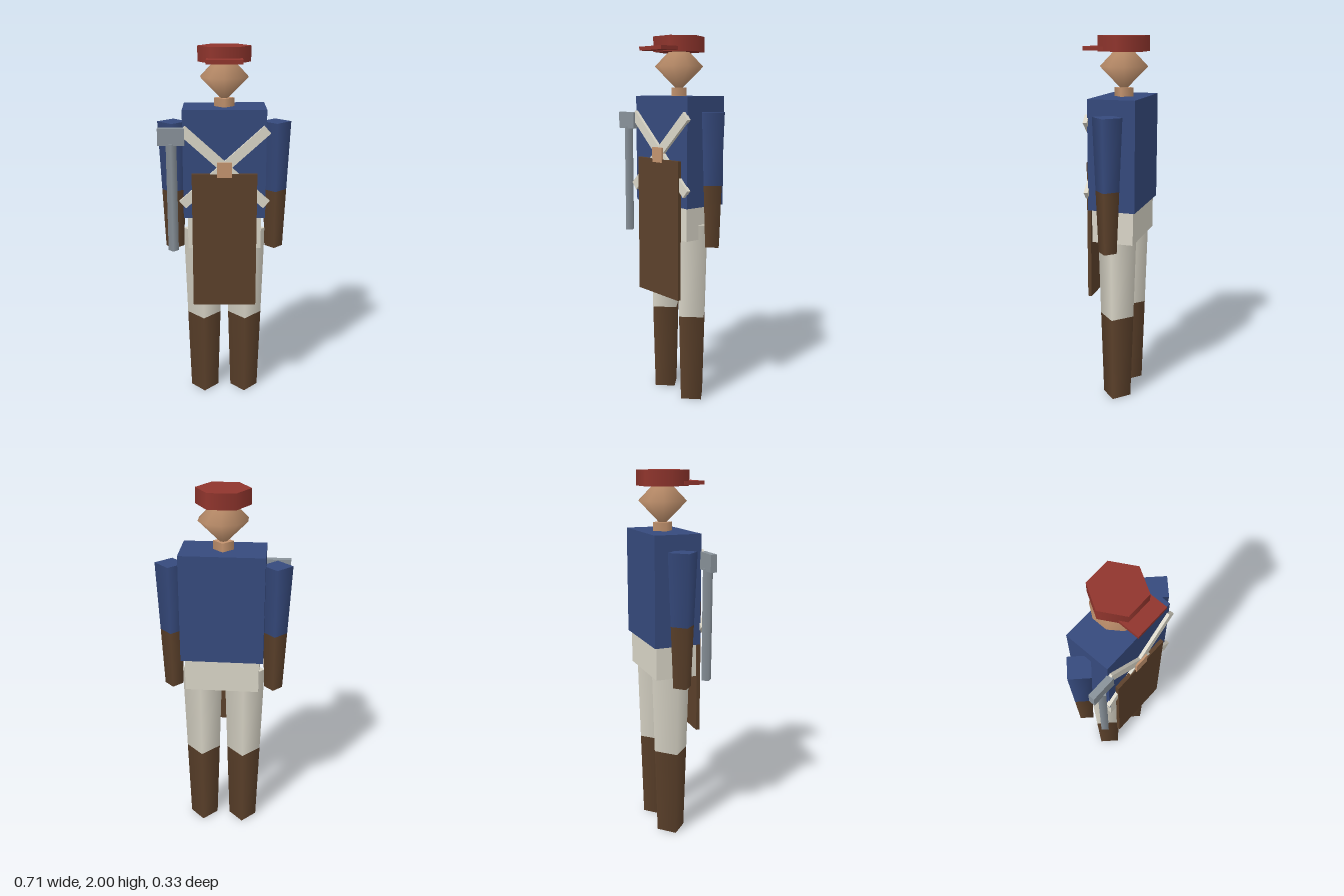
import * as THREE from 'three';

const mat = (name, color) => {
  const m = new THREE.MeshStandardMaterial({ color });
  m.name = name;
  return m;
};

export function createModel() {
  const group = new THREE.Group();
  group.name = 'soldier';

  const blue = mat('blue coat', 0x364a7d);
  const brown = mat('brown leather', 0x5c412b);
  const cream = mat('cream cloth', 0xdad6c8);
  const red = mat('red cap', 0x90352d);
  const grey = mat('grey metal', 0x89929a);
  const skin = mat('skin', 0xc4946f);

  const bodyZ = -0.033;

  const add = (name, geometry, material, x, y, z) => {
    const mesh = new THREE.Mesh(geometry, material);
    mesh.name = name;
    mesh.position.set(x, y, z);
    group.add(mesh);
    return mesh;
  };
  const box = (name, material, w, h, d, x, y, z) =>
    add(name, new THREE.BoxGeometry(w, h, d), material, x, y, z);
  // Upright tapered prism between two heights
  const prism = (name, material, rTop, rBottom, y0, y1, x, z, sides = 4) =>
    add(name, new THREE.CylinderGeometry(rTop, rBottom, y1 - y0, sides), material, x, (y0 + y1) / 2, z);

  // Body
  box('torso', blue, 0.438, 0.58, 0.254, 0, 1.4, bodyZ);
  box('hips', cream, 0.396, 0.18, 0.226, 0, 1.02, bodyZ);

  // Limbs, mirrored
  for (const [side, s] of [['left', 1], ['right', -1]]) {
    prism(side + 'Sleeve', blue, 0.08, 0.064, 1.235, 1.61, s * 0.277, bodyZ);
    prism(side + 'Forearm', brown, 0.064, 0.05, 0.905, 1.235, s * 0.277, bodyZ);
    prism(side + 'Thigh', cream, 0.11, 0.095, 0.49, 1.01, s * 0.117, bodyZ);
    prism(side + 'Boot', brown, 0.095, 0.08, 0, 0.49, s * 0.117, bodyZ);
  }

  // Neck and double-cone head
  prism('neck', skin, 0.053, 0.053, 1.68, 1.735, 0, bodyZ);
  const head = add('head', new THREE.SphereGeometry(0.131, 10, 2), skin, 0, 1.845, bodyZ);
  head.rotation.y = Math.PI / 2;

  // Cap with peak
  prism('cap', red, 0.139, 0.139, 1.92, 2, 0, bodyZ, 6).rotation.y = Math.PI / 6;
  box('capPeak', red, 0.185, 0.02, 0.113, 0, 1.935, 0.1065);

  // Crossed chest straps
  for (const s of [1, -1]) {
    const strap = box('chestStrap', cream, 0.6, 0.052, 0.022, 0, 1.39, 0.1);
    strap.rotation.z = s * 0.735;
  }

  // Apron with its clasp
  box('apron', brown, 0.345, 0.752, 0.02, 0, 0.981, 0.107);
  box('apronClasp', skin, 0.08, 0.08, 0.035, 0, 1.38, 0.104);

  // Hammer held at the right shoulder
  prism('hammerHandle', grey, 0.028, 0.028, 0.93, 1.52, -0.277, 0.105);
  box('hammerHead', grey, 0.139, 0.09, 0.034, -0.277, 1.555, 0.105);

  return group;
}
